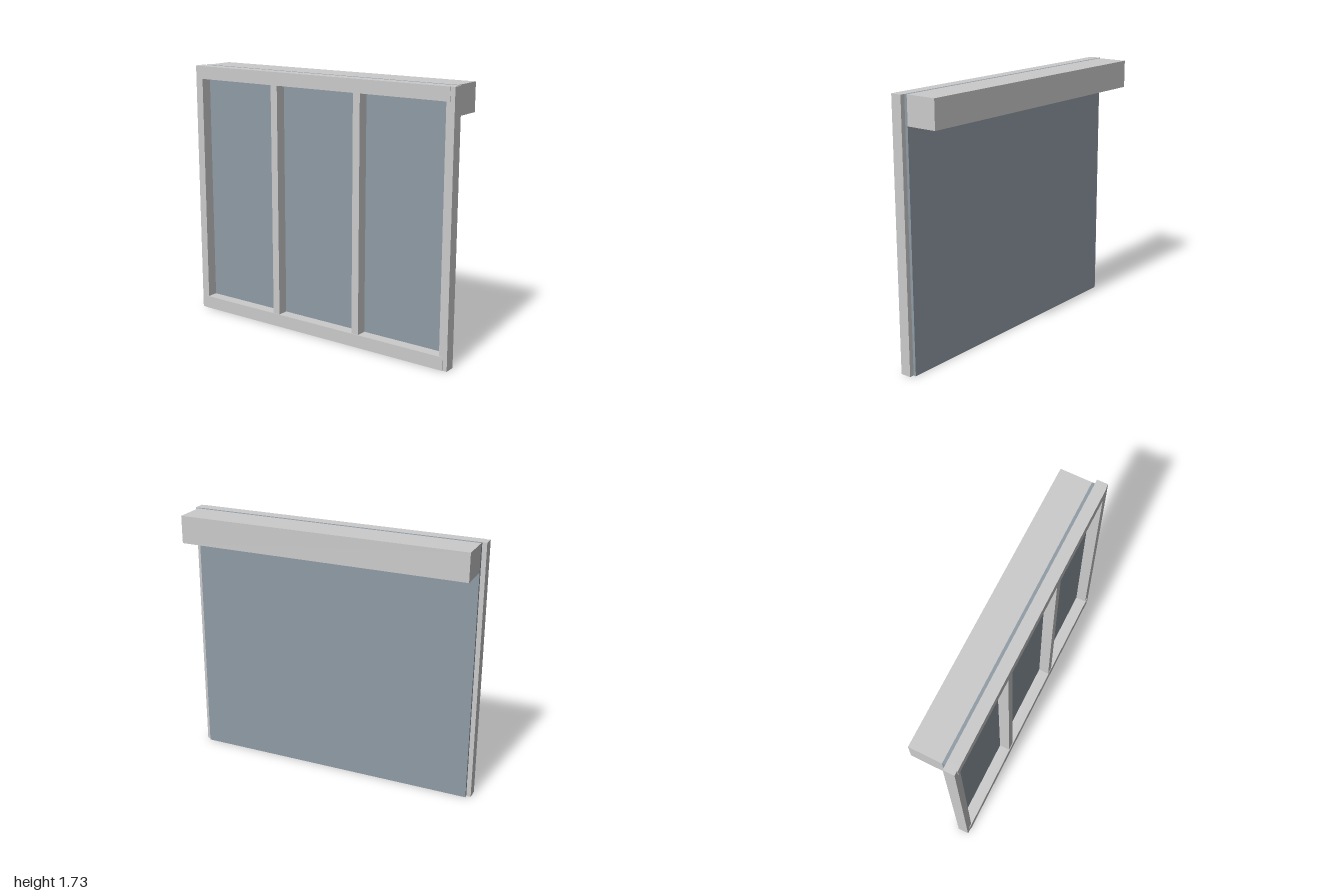
import * as THREE from 'three';

const WIDTH = 2, HEIGHT = 1.73;

export function createModel() {
  const model = new THREE.Group();
  model.name = 'panelledWindow';
  const grey = new THREE.MeshStandardMaterial({ color: 0xcccccc });
  const glass = new THREE.MeshStandardMaterial({ color: 0x909ca5 });

  // Box given by its lower and upper limits on each axis
  const addBox = (name, [x0, x1], [y0, y1], [z0, z1], material = grey, parent = model) => {
    const mesh = new THREE.Mesh(new THREE.BoxGeometry(x1 - x0, y1 - y0, z1 - z0), material);
    mesh.position.set((x0 + x1) / 2, (y0 + y1) / 2, (z0 + z1) / 2);
    mesh.name = name;
    parent.add(mesh);
  };

  const frame = new THREE.Group();
  frame.name = 'frame';
  model.add(frame);
  const rail = 0.087, barDepth = [0.076, 0.149], railDepth = [0.076, 0.153];

  // Outer stiles and inner mullions, mirrored left and right
  for (const [side, s] of [['left', 1], ['right', -1]]) {
    const span = (a, b) => (s > 0 ? [a, b] : [-b, -a]);
    addBox(side + 'Stile', span(0.944, WIDTH / 2), [0, HEIGHT], barDepth, grey, frame);
    addBox(side + 'Mullion', span(0.297, 0.348), [rail, HEIGHT - rail], barDepth, grey, frame);
  }

  // Rails stand slightly proud of the stiles and lap over their inner edges
  addBox('bottomRail', [-0.97, 0.97], [0, rail], railDepth, grey, frame);
  addBox('topRail', [-0.97, 0.97], [HEIGHT - rail, HEIGHT], railDepth, grey, frame);

  // One glass sheet behind the frame
  addBox('glassSheet', [-0.97, 0.97], [0, HEIGHT], [0.057, 0.076], glass);

  // Housing along the top of the back
  addBox('rearHousing', [-0.97, 0.97], [1.547, HEIGHT], [-0.153, 0.057]);

  return model;
}
